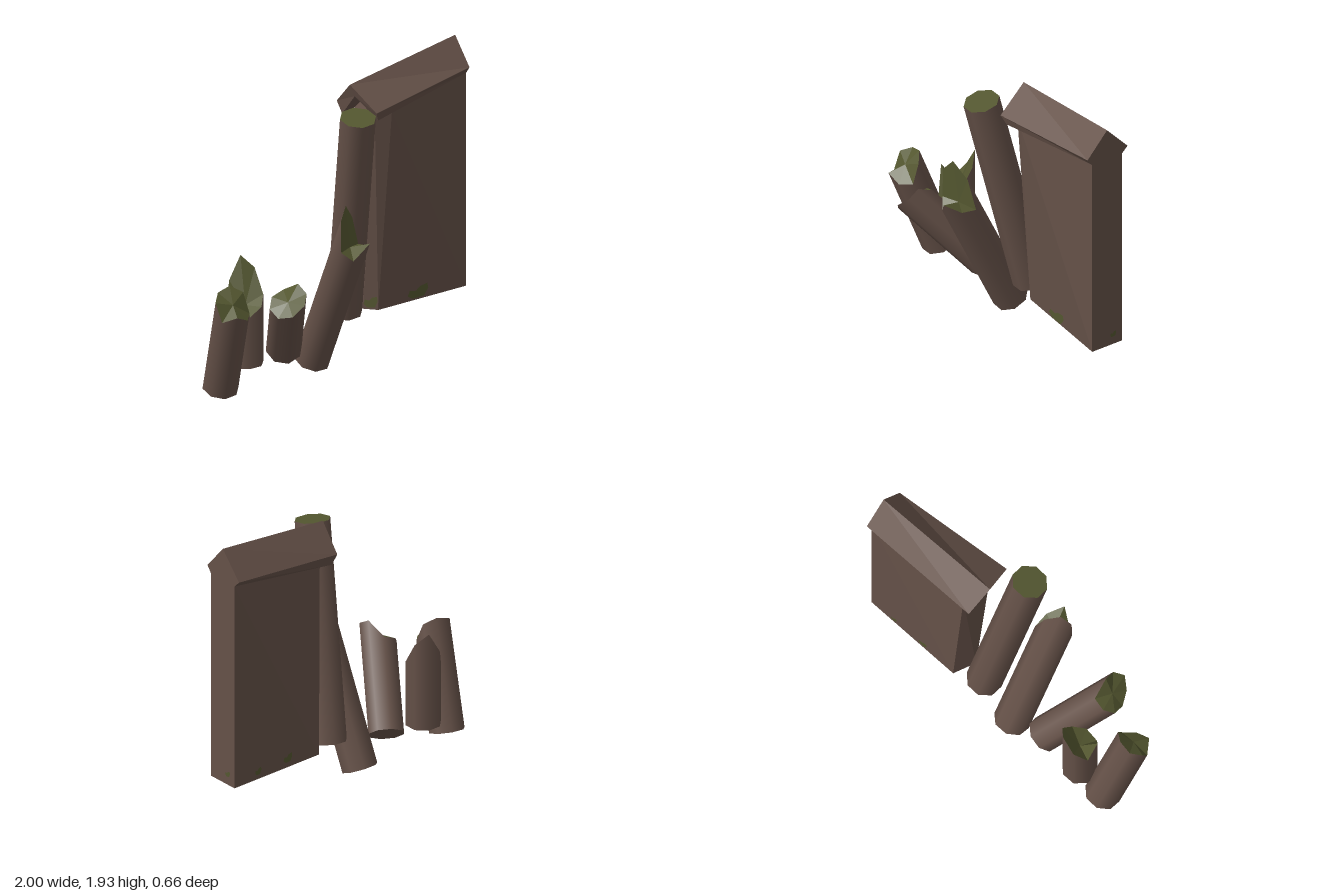
import * as THREE from 'three';

const wood = new THREE.MeshStandardMaterial({ color: 0x655148 });
wood.name = 'weathered wood';
const moss = new THREE.MeshStandardMaterial({ color: 0x545730 });
moss.name = 'mossy green';

const R = 0.115, SIDES = 8;

function flatGeometry(triangles) {
  const g = new THREE.BufferGeometry().setFromPoints(triangles.flat());
  g.computeVertexNormals();
  return g;
}

function addMesh(parent, geometry, material, name) {
  const m = new THREE.Mesh(geometry, material);
  m.name = name;
  parent.add(m);
  return m;
}

// Eight-sided log; rim heights run from the front-right corner round by the right.
function makeLog(name, base, dir, rim, centre) {
  const log = new THREE.Group();
  log.name = name;
  const side = new THREE.CylinderGeometry(R, R, 1, SIDES, 1, true, Math.PI / SIDES);
  const p = side.attributes.position;
  for (let i = 0; i <= SIDES; i++) {
    p.setY(i, rim[i % SIDES]);
    p.setY(i + SIDES + 1, 0);
  }
  addMesh(log, side, wood, 'bark');

  const corner = (i, y) => {
    const a = Math.PI / SIDES + (i * Math.PI * 2) / SIDES;
    return new THREE.Vector3(R * Math.sin(a), y, R * Math.cos(a));
  };
  const top = [], bottom = [];
  for (let i = 0; i < SIDES; i++) {
    const j = (i + 1) % SIDES;
    top.push([new THREE.Vector3(0, centre, 0), corner(i, rim[i]), corner(j, rim[j])]);
    bottom.push([new THREE.Vector3(), corner(j, 0), corner(i, 0)]);
  }
  addMesh(log, flatGeometry(top), moss, 'brokenTop');
  addMesh(log, flatGeometry(bottom), wood, 'sawnBase');

  log.position.set(...base);
  log.quaternion.setFromUnitVectors(new THREE.Vector3(0, 1, 0), new THREE.Vector3(...dir).normalize());
  return log;
}

// Solid between two matching cross-sections, from the -x end to the +x end.
function loft(far, near) {
  const a = far.map(v => new THREE.Vector3(...v));
  const b = near.map(v => new THREE.Vector3(...v));
  const tris = [];
  a.forEach((_, i) => {
    const j = (i + 1) % a.length;
    tris.push([a[i], a[j], b[j]], [a[i], b[j], b[i]]);
    if (i > 0 && j > 0) tris.push([b[0], b[i], b[j]], [a[0], a[j], a[i]]);
  });
  return flatGeometry(tris);
}

// Thin ragged moss patch
function mossPatch(parent, pos, turn, w, h) {
  const shape = new THREE.Shape([[-0.5, -0.2], [-0.25, -0.5], [0.3, -0.45], [0.5, 0.1], [0.45, 0.5], [0.1, 0.4], [-0.1, 0.1], [-0.4, 0.2]]
    .map(([x, y]) => new THREE.Vector2(x * w, y * h)));
  const m = addMesh(parent, new THREE.ShapeGeometry(shape), moss, 'mossPatch');
  m.position.set(...pos);
  m.rotation.y = turn;
}

export function createModel() {
  const model = new THREE.Group();
  model.name = 'brokenPalisade';

  // Broken and leaning logs
  model.add(
    makeLog('endLog', [-0.825, 0.045, -0.18], [-0.105, 1, 0.34],
      [0.597, 0.583, 0.69, 0.72, 0.7, 0.686, 0.59, 0.65], 0.66),
    makeLog('splinteredLog', [-0.635, 0.163, -0.178], [0, 1, 0],
      [0.39, 0.44, 0.59, 0.667, 0.52, 0.4, 0.53, 0.34], 0.38),
    makeLog('fallenLog', [-0.33, 0.19, -0.185], [-0.53, 1, 0.78],
      [0.718, 0.71, 0.703, 0.59, 0.59, 0.6, 0.61, 0.66], 0.64),
    makeLog('pointedLog', [-0.092, 0.048, -0.212], [0, 1, 0.45],
      [1.048, 0.957, 0.897, 1.085, 1.206, 1.144, 0.96, 0.925], 0.94),
    makeLog('tallLog', [0.148, 0.315, -0.2], [-0.115, 1.39, 0.29], Array(SIDES).fill(1.42), 1.42),
  );

  // Wall panel, twisted towards its inner end
  const gate = new THREE.Group();
  gate.name = 'roofedWall';
  model.add(gate);
  const inner = [[0.3, 1.74, -0.135], [0.355, 1.64, 0.012], [0.32, 0.315, -0.08], [0.315, 0.315, -0.3], [0.27, 1.61, -0.255]];
  addMesh(gate, loft(inner,
    [[1, 1.85, -0.19], [1, 1.717, -0.08], [1, 0.315, -0.08], [1, 0.315, -0.3], [1, 1.717, -0.3]],
  ), wood, 'wallPanel');

  // Wedge closing the inner end with one upright edge
  const edgeTop = [0.255, 1.62, -0.03], edgeFoot = [0.258, 0.315, -0.155];
  addMesh(gate, loft([[0.27, 1.72, -0.12], edgeTop, edgeFoot, edgeFoot, edgeTop], inner), wood, 'wallEdge');

  // Two-sided roof, sloping down to the inner end
  addMesh(gate, loft(
    [[0.18, 1.74, -0.135], [0.19, 1.58, -0.275], [0.175, 1.66, -0.31], [0.15, 1.82, -0.145], [0.2, 1.68, 0.06], [0.23, 1.62, 0.035]],
    [[1, 1.85, -0.19], [1, 1.717, -0.3], [1, 1.76, -0.342], [1, 1.935, -0.19], [1, 1.765, -0.045], [1, 1.717, -0.08]],
  ), wood, 'roof');

  // Moss near the foot of the wall
  mossPatch(gate, [0.62, 0.37, -0.07], 0, 0.16, 0.08);
  mossPatch(gate, [0.283, 0.367, -0.109], -0.9, 0.09, 0.075);
  mossPatch(gate, [1.001, 0.39, -0.235], Math.PI / 2, 0.045, 0.04);
  mossPatch(gate, [0.57, 0.38, -0.303], Math.PI, 0.07, 0.06);
  mossPatch(gate, [0.81, 0.37, -0.303], Math.PI, 0.05, 0.05);

  return model;
}
